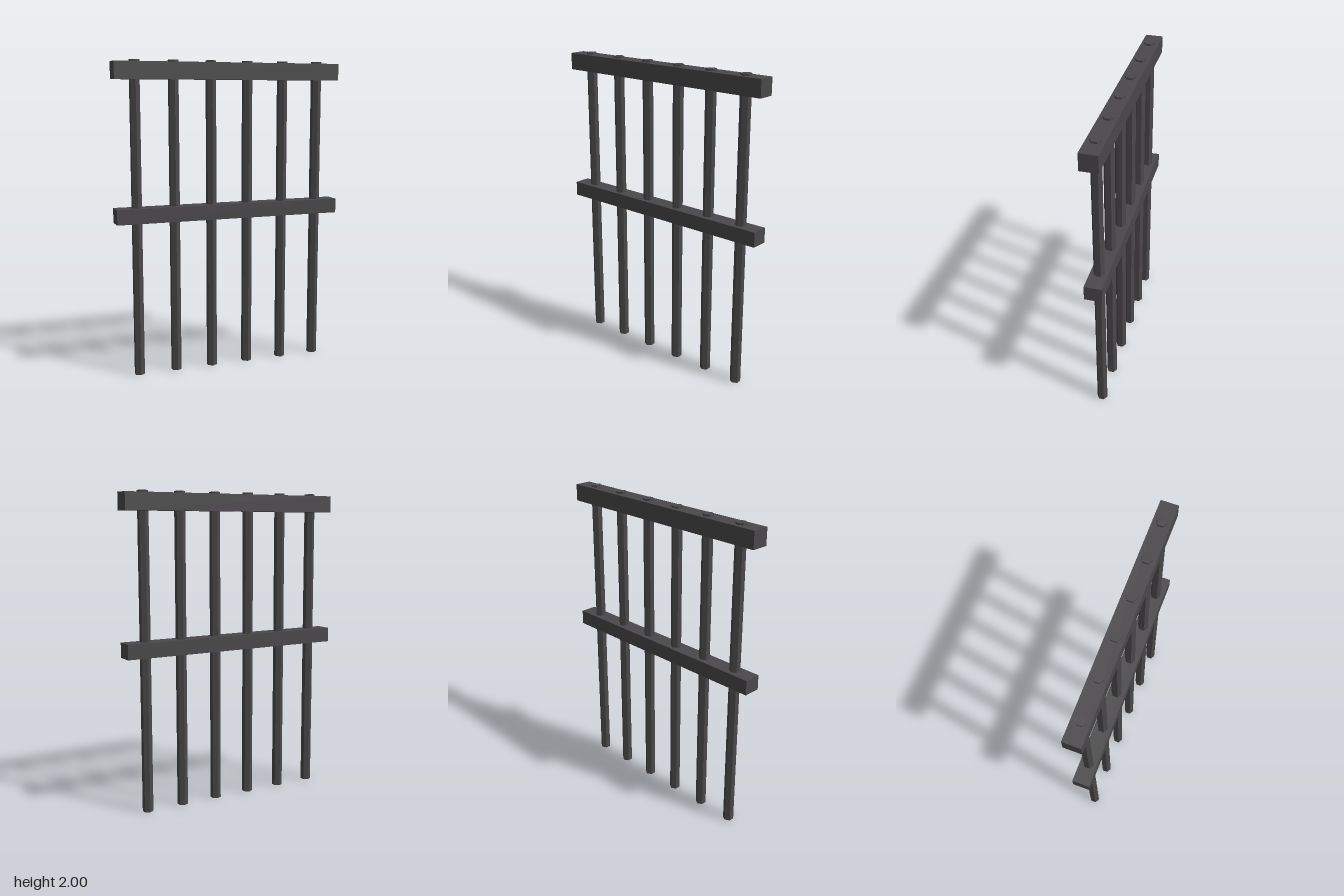
import * as THREE from 'three';

export function createModel() {
  const group = new THREE.Group();
  const iron = new THREE.MeshStandardMaterial({ color: 0x4a484a });
  iron.name = 'dark iron';
  iron.flatShading = true;

  // Six hexagonal upright bars, corners pointing front and back
  const barGeometry = new THREE.CylinderGeometry(0.034, 0.034, 2, 6);
  for (let i = 0; i < 6; i++) {
    const bar = new THREE.Mesh(barGeometry, iron);
    bar.name = `uprightBar${i + 1}`;
    bar.position.set((i - 2.5) * 0.248, 1, 0);
    group.add(bar);
  }

  // Two horizontal rails the bars pass through
  const addRail = (name, bottom, top) => {
    const rail = new THREE.Mesh(new THREE.BoxGeometry(1.516, top - bottom, 0.11), iron);
    rail.name = name;
    rail.position.y = (bottom + top) / 2;
    group.add(rail);
  };
  addRail('middleRail', 0.99, 1.085);
  addRail('topRail', 1.88, 1.988);

  return group;
}
